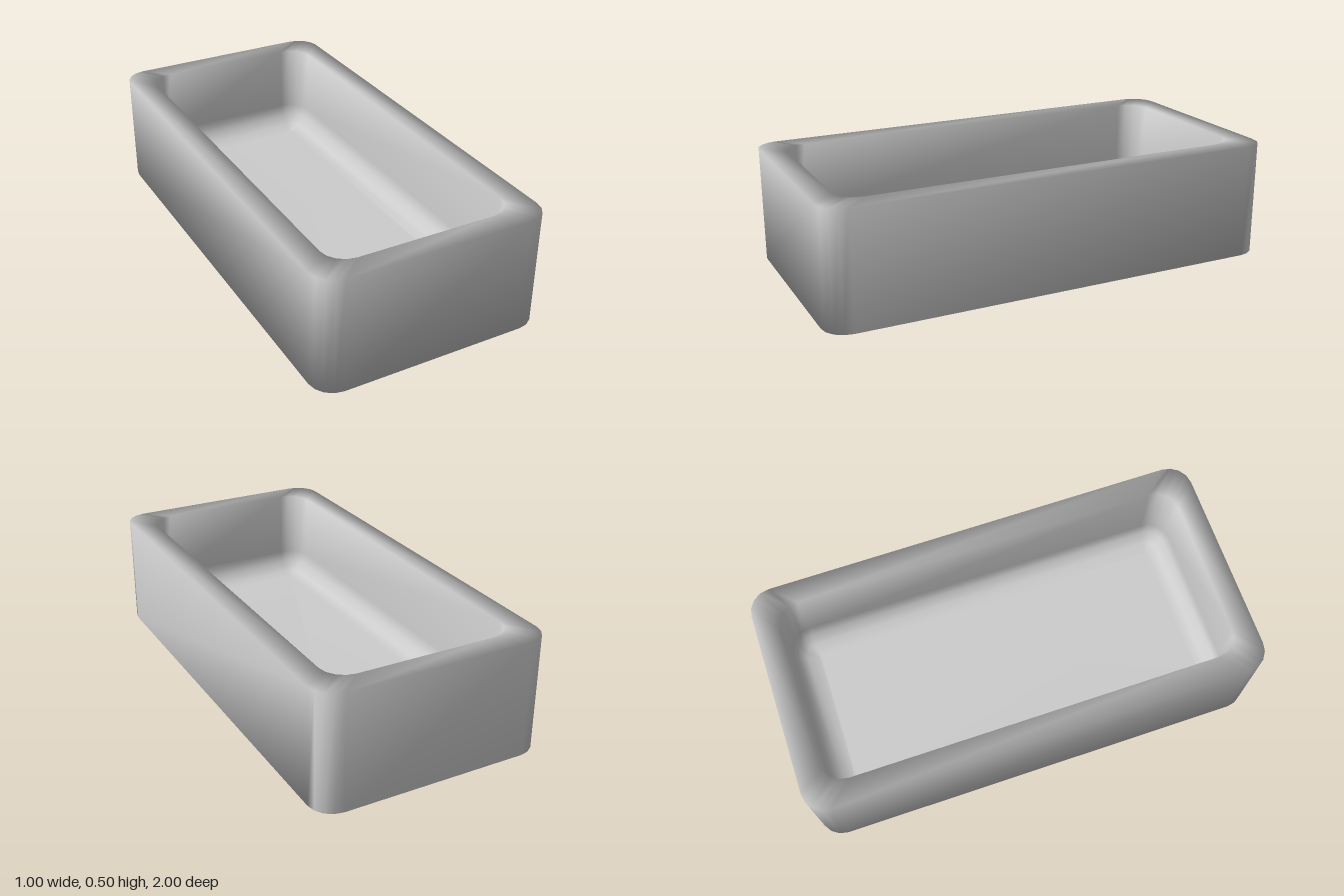
import * as THREE from 'three';

const CORNER_STEPS = 4;

// Rounded rectangle ring, counter-clockwise seen from above, starting at the back left corner
function ring(halfX, halfZ, radius, y) {
  const points = [];
  const corners = [[1, -1], [-1, -1], [-1, 1], [1, 1]];
  corners.forEach(([sx, sz], c) => {
    for (let i = 0; i <= CORNER_STEPS; i++) {
      const a = (c + i / CORNER_STEPS) * Math.PI / 2;
      points.push(
        sx * (halfX - radius) + radius * Math.cos(a), y,
        sz * (halfZ - radius) - radius * Math.sin(a));
    }
  });
  return points;
}

export function createModel() {
  // Wall section from the outer foot, over the rim and down into the basin: [inset, radius, y]
  const section = [[0, 0.1, 0], [0, 0.1, 0.5], [0.1, 0.1, 0.5]];
  // Rounded transition between basin wall and floor
  const steps = 3;
  for (let i = 0; i <= steps; i++) {
    const a = i / steps * Math.PI / 2;
    const inset = 0.1 * (1 - Math.cos(a));
    section.push([0.1 + inset, Math.max(0.1 - inset, 0.01), 0.2 - 0.1 * Math.sin(a)]);
  }

  const positions = section.flatMap(([inset, r, y]) => ring(0.5 - inset, 1 - inset, r, y));
  const n = 4 * (CORNER_STEPS + 1);
  const index = [];

  // Walls and rim
  for (let k = 0; k < section.length - 1; k++) {
    for (let i = 0; i < n; i++) {
      const a = k * n + i, b = k * n + (i + 1) % n;
      index.push(a, b, b + n, a, b + n, a + n);
    }
  }

  // Underside and basin floor
  const floor = (section.length - 1) * n;
  for (let i = 1; i < n - 1; i++) {
    index.push(0, i + 1, i);
    index.push(floor, floor + i, floor + i + 1);
  }

  const geometry = new THREE.BufferGeometry();
  geometry.setAttribute('position', new THREE.Float32BufferAttribute(positions, 3));
  geometry.setIndex(index);
  geometry.computeVertexNormals();

  const basin = new THREE.Mesh(geometry, new THREE.MeshStandardMaterial({ color: 0xcccccc }));
  basin.name = 'basin';

  const group = new THREE.Group();
  group.name = 'openTub';
  group.add(basin);
  return group;
}
